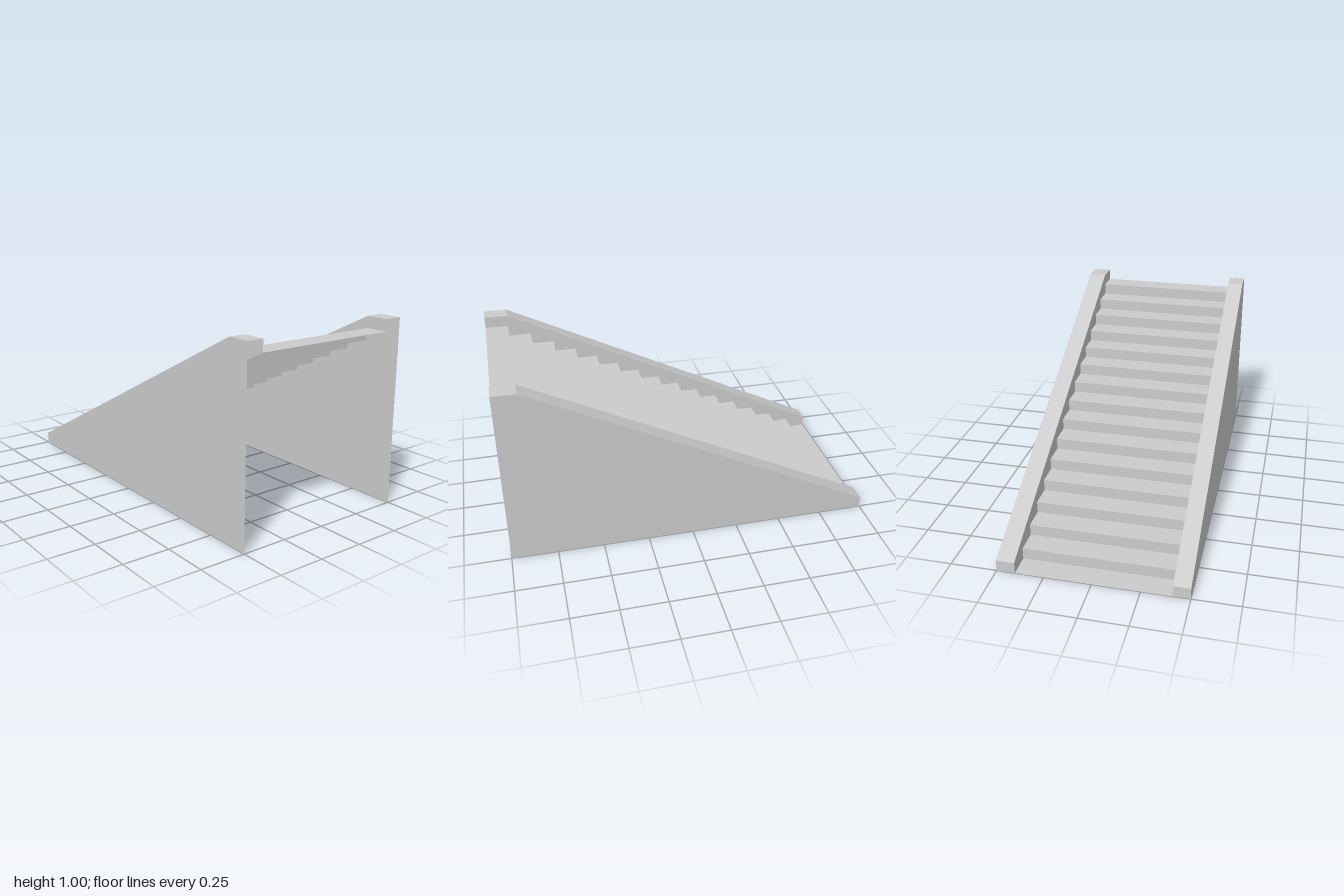
import * as THREE from 'three';

const STEPS = 16, RUN = 2 / STEPS, RISE = 1 / STEPS;
const INNER_FRONT = 0.41, INNER_BACK = -0.402;

const material = new THREE.MeshStandardMaterial({
  color: 0xcccccc, flatShading: true, side: THREE.DoubleSide,
});

function addMesh(group, name, geometry) {
  const mesh = new THREE.Mesh(geometry, material);
  mesh.name = name;
  group.add(mesh);
}

// Sheet that follows an (x, y) path and spans zBack..zFront
function sheet(path, zBack, zFront) {
  const pos = [];
  for (let i = 0; i + 1 < path.length; i++) {
    const [ax, ay] = path[i], [bx, by] = path[i + 1];
    pos.push(ax, ay, zFront, bx, by, zFront, bx, by, zBack);
    pos.push(ax, ay, zFront, bx, by, zBack, ax, ay, zBack);
  }
  const g = new THREE.BufferGeometry();
  g.setAttribute('position', new THREE.Float32BufferAttribute(pos, 3));
  g.computeVertexNormals();
  return g;
}

// Flat upright wall at depth z, facing +z or -z
function wall(outline, z, facing) {
  const g = new THREE.ShapeGeometry(new THREE.Shape(outline.map(([x, y]) => new THREE.Vector2(x, y))));
  if (facing < 0) {
    const index = g.index;
    for (let i = 0; i < index.count; i += 3) {
      const a = index.getX(i);
      index.setX(i, index.getX(i + 1));
      index.setX(i + 1, a);
    }
    g.computeVertexNormals();
  }
  return g.translate(0, 0, z);
}

export function createModel() {
  const group = new THREE.Group();
  group.name = 'staircase';

  // Folded run of treads and risers; the first tread lies on the ground
  const stepPath = [];
  for (let i = 0; i < STEPS; i++) {
    stepPath.push([-1 + i * RUN, i * RISE], [-1 + (i + 1) * RUN, i * RISE]);
  }
  addMesh(group, 'steps', sheet(stepPath, INNER_BACK, INNER_FRONT));

  // Hollow side rails, open underneath and at the tall end
  const railTop = [[-1, RISE], [1 - RUN, 1], [1, 1]];
  const outerOutline = [[-1, 0], [1, 0], ...[...railTop].reverse()];
  const innerOutline = [[-1, 0], [-1 + RUN, 0], [1, 1 - RISE], ...[...railTop].reverse()];
  const capPath = [[-1, 0], ...railTop];

  for (const side of [1, -1]) {
    const rail = new THREE.Group();
    rail.name = side > 0 ? 'frontRail' : 'backRail';
    const inner = side > 0 ? INNER_FRONT : INNER_BACK;
    const outer = 0.5 * side;
    addMesh(rail, 'outerPanel', wall(outerOutline, outer, side));
    addMesh(rail, 'innerPanel', wall(innerOutline, inner, -side));
    addMesh(rail, 'railCap', sheet(capPath, Math.min(inner, outer), Math.max(inner, outer)));
    group.add(rail);
  }
  return group;
}
